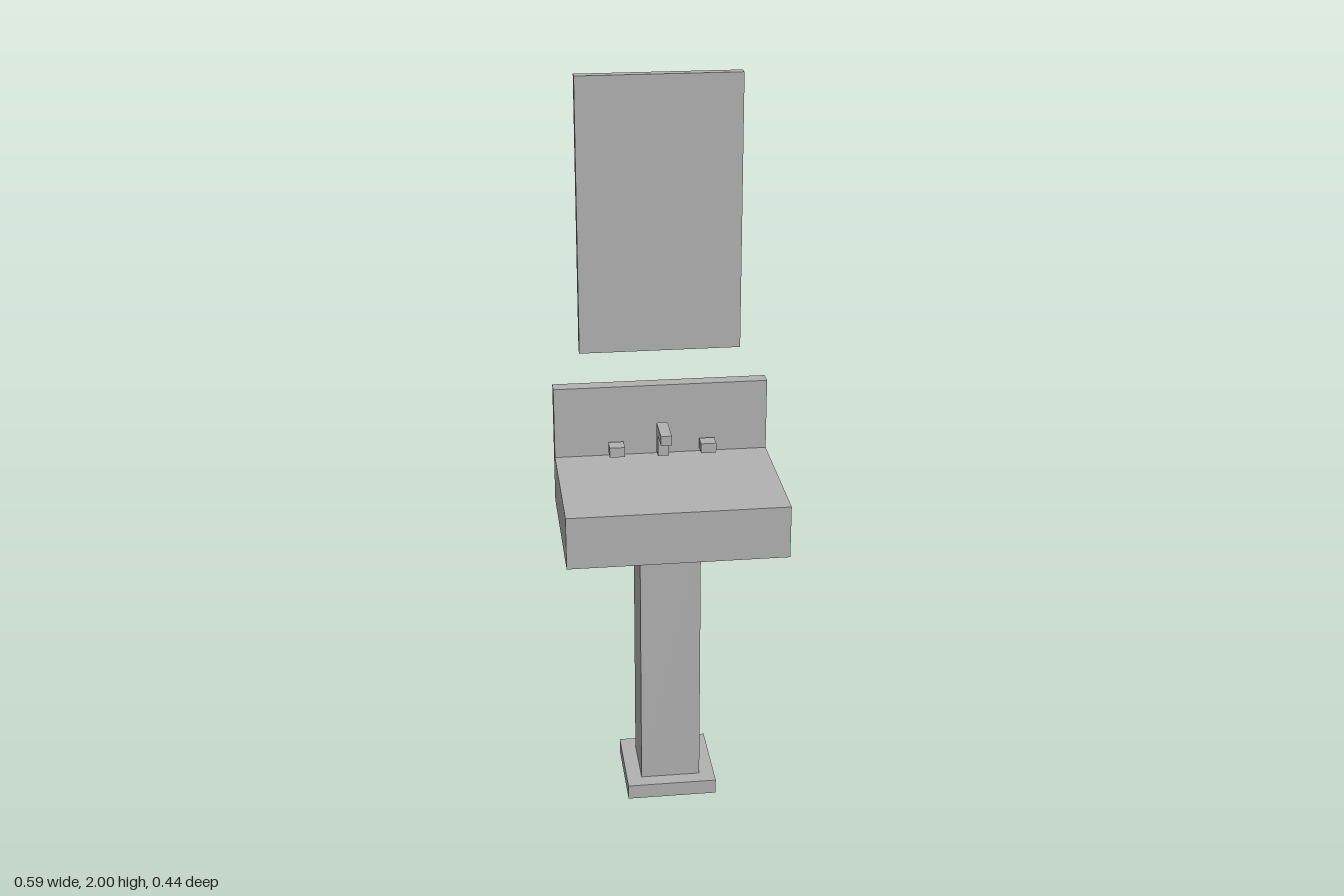
import * as THREE from 'three';

export function createModel() {
  const model = new THREE.Group();
  model.name = 'pedestalSinkWithMirror';

  // Double sided because the mirror and the foot are thin open shells
  const grey = new THREE.MeshStandardMaterial({ color: 0xb2b2b2, side: THREE.DoubleSide });
  grey.name = 'plainGrey';

  const add = (name, geometry) => {
    const mesh = new THREE.Mesh(geometry, grey);
    mesh.name = name;
    model.add(mesh);
    return mesh;
  };

  // Box between two corners; openSide drops one face (order: +x -x +y -y +z -z)
  const box = (name, [x0, y0, z0], [x1, y1, z1], openSide = -1) => {
    const g = new THREE.BoxGeometry(x1 - x0, y1 - y0, z1 - z0);
    g.translate((x0 + x1) / 2, (y0 + y1) / 2, (z0 + z1) / 2);
    if (openSide >= 0) {
      g.setIndex([...g.index.array].filter((_, i) => Math.floor(i / 6) !== openSide));
      g.clearGroups();
    }
    return add(name, g);
  };

  // Side profile given as [z, y] points, extruded across x and centred
  const profile = (name, points, width) => {
    const shape = new THREE.Shape(points.map(([z, y]) => new THREE.Vector2(-z, y)));
    const g = new THREE.ExtrudeGeometry(shape, { depth: width, bevelEnabled: false });
    g.translate(0, 0, -width / 2);
    g.rotateY(Math.PI / 2);
    return add(name, g);
  };

  // Foot (open underneath) and column
  box('foot', [-0.125, 0, -0.17], [0.125, 0.042, 0.08], 3);
  box('column', [-0.083, 0.042, -0.128], [0.083, 0.8, 0.038]);

  // Basin block with its upright splashback
  profile('basin', [
    [0.222, 0.81], [0.222, 0.955], [-0.177, 0.955],
    [-0.177, 1.155], [-0.218, 1.155], [-0.218, 0.81],
  ], 0.588);

  // Spout bends forward over the basin
  profile('spout', [
    [-0.151, 0.969], [-0.151, 1.055], [-0.052, 1.055],
    [-0.052, 1.028], [-0.121, 1.028], [-0.121, 0.969],
  ], 0.03);

  // Pair of tap handles
  for (const [side, x] of [['left', 0.126], ['right', -0.126]]) {
    box(side + 'TapHandle', [x - 0.021, 0.969, -0.167], [x + 0.021, 0.997, -0.125]);
  }

  // Mirror panel, a shallow tray open at the back
  box('mirror', [-0.22, 1.25, -0.222], [0.22, 2, -0.193], 5);

  return model;
}
